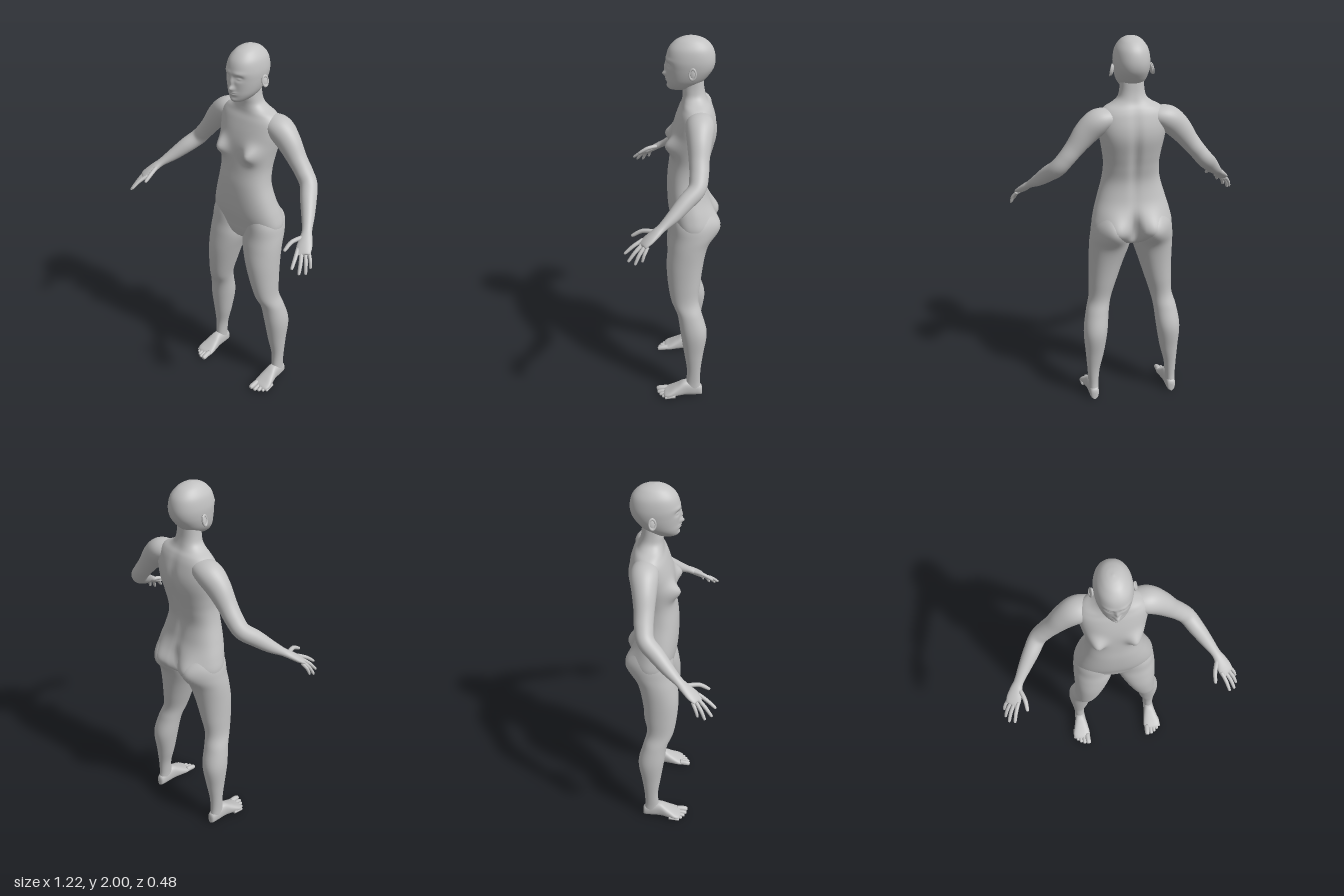
import * as THREE from 'three';

const V = (x, y, z) => new THREE.Vector3(x, y, z);
const DOWN = V(0, -1, 0), FORWARD = V(0, 0, 1), UP = V(0, 1, 0);

// Smooth interpolation of one column of numbers
function spline(p0, p1, p2, p3, t) {
  const a = (p2 - p0) / 2, b = (p3 - p1) / 2, t2 = t * t, t3 = t2 * t;
  return (2 * t3 - 3 * t2 + 1) * p1 + (t3 - 2 * t2 + t) * a + (3 * t2 - 2 * t3) * p2 + (t3 - t2) * b;
}

// Skin over rows [x, y, z, half width, half depth]; axis fixed, or following the path
function loft(rows, { axis = null, sides = 32, steps = 6, power = 2, bumps = [] } = {}) {
  const last = rows.length - 1, rings = [];
  for (let k = 0; k <= last * steps; k++) {
    const i = Math.min(Math.floor(k / steps), last - 1), t = k / steps - i;
    const at = j => rows[Math.max(0, Math.min(last, j))];
    rings.push(rows[0].map((_, c) => spline(at(i - 1)[c], at(i)[c], at(i + 1)[c], at(i + 2)[c], t)));
  }
  const centre = r => V(r[0], r[1], r[2]);
  const pts = [], index = [], n = rings.length;
  rings.forEach((r, k) => {
    const w = axis ?? centre(rings[Math.min(n - 1, k + 1)]).sub(centre(rings[Math.max(0, k - 1)])).normalize();
    const u = axis ? V(1, 0, 0) : w.clone().cross(UP).normalize();
    const v = w.clone().cross(u);
    for (let j = 0; j < sides; j++) {
      const a = j / sides * Math.PI * 2, c = Math.cos(a), s = Math.sin(a);
      const round = q => Math.sign(q) * Math.abs(q) ** (2 / power);
      pts.push(centre(r).addScaledVector(u, r[3] * round(c)).addScaledVector(v, r[4] * round(s)));
    }
  });
  for (let k = 0; k < n - 1; k++) for (let j = 0; j < sides; j++) {
    const a = k * sides + j, b = k * sides + (j + 1) % sides;
    index.push(a, b, a + sides, b, b + sides, a + sides);
  }
  const first = pts.length, end = (n - 1) * sides;
  pts.push(centre(rings[0]), centre(rings[n - 1]));
  for (let j = 0; j < sides; j++) {
    const m = (j + 1) % sides;
    index.push(first, m, j, first + 1, end + j, end + m);
  }
  // Soft swellings and hollows: [centre, radii, push along z], same on both sides
  for (const p of pts) {
    let push = 0;
    for (const [c, r, d] of bumps) {
      push += d * Math.exp(-(((Math.abs(p.x) - c[0]) / r[0]) ** 2) - ((p.y - c[1]) / r[1]) ** 2 - ((p.z - c[2]) / r[2]) ** 2);
    }
    p.z += push;
  }
  const geo = new THREE.BufferGeometry().setFromPoints(pts);
  geo.setIndex(index);
  geo.computeVertexNormals();
  return geo;
}

function mirrored(geo) {
  const g = geo.clone().scale(-1, 1, 1), ix = g.index.array;
  for (let i = 0; i < ix.length; i += 3) [ix[i], ix[i + 1]] = [ix[i + 1], ix[i]];
  g.computeVertexNormals();
  return g;
}

// Row from height, inner x, outer x, front z, back z
const level = ([y, x0, x1, zf, zb]) => [(x0 + x1) / 2, y, (zf + zb) / 2, (x1 - x0) / 2, (zf - zb) / 2];
const centred = ([y, w, zf, zb]) => level([y, -w, w, zf, zb]);

// Rounded finger or toe through three points
function digit(a, b, c, r) {
  const tip = a.map((_, i) => c[i] + (b[i] - c[i]) * 0.14);
  return loft([[...a, r, r], [...b, r, r * 0.95], [...tip, r * 0.78, r * 0.72], [...c, r * 0.2, r * 0.2]], { sides: 12, steps: 5 });
}

export function createModel() {
  const model = new THREE.Group();
  model.name = 'mannequin';
  const clay = new THREE.MeshStandardMaterial({ color: 0xc2c2c2 });
  clay.name = 'light grey clay';
  const add = (name, geo) => {
    const mesh = new THREE.Mesh(geo, clay);
    mesh.name = name;
    model.add(mesh);
  };
  const pair = (name, geo) => {
    add('left ' + name, geo);
    add('right ' + name, mirrored(geo));
  };

  // Chest, seat and spine forms, shared by torso and legs
  const bodyForms = [
    [[0.1, 1.462, 0.01], [0.042, 0.045, 0.08], 0.048],
    [[0.1, 1.02, -0.2], [0.07, 0.075, 0.09], -0.045],
    [[0, 1.01, -0.22], [0.022, 0.08, 0.06], 0.05],
    [[0, 1.4, -0.2], [0.025, 0.2, 0.08], 0.014],
  ];

  // Neck and torso
  add('torso', loft([
    [1.79, 0.058, -0.05, -0.145], [1.74, 0.062, -0.042, -0.15], [1.705, 0.072, -0.042, -0.158],
    [1.68, 0.1, -0.04, -0.168], [1.655, 0.145, -0.035, -0.185], [1.62, 0.17, -0.02, -0.2],
    [1.56, 0.172, 0, -0.215], [1.5, 0.164, 0.013, -0.215], [1.42, 0.15, 0.02, -0.196],
    [1.35, 0.143, 0.026, -0.178], [1.27, 0.151, 0.035, -0.163], [1.18, 0.176, 0.036, -0.175],
    [1.1, 0.199, 0.03, -0.197], [1.03, 0.211, 0.015, -0.205], [0.98, 0.19, 0.005, -0.19],
    [0.94, 0.07, -0.01, -0.16], [0.92, 0.015, -0.05, -0.11],
  ].map(centred), { axis: DOWN, sides: 96, power: 2.3, bumps: bodyForms }));

  // Head with modelled face
  add('head', loft([
    [2, 0.004, -0.076, -0.084], [1.993, 0.032, -0.042, -0.122], [1.975, 0.057, -0.005, -0.16],
    [1.94, 0.08, 0.026, -0.19], [1.89, 0.09, 0.04, -0.202], [1.845, 0.088, 0.038, -0.195],
    [1.805, 0.08, 0.035, -0.17], [1.775, 0.068, 0.034, -0.142], [1.75, 0.049, 0.031, -0.11],
    [1.735, 0.029, 0.022, -0.07], [1.73, 0.008, 0, -0.04],
  ].map(centred), {
    axis: DOWN, sides: 112, steps: 10, power: 2.15, bumps: [
      [[0, 1.811, 0.04], [0.014, 0.014, 0.05], 0.021], // nose tip
      [[0, 1.843, 0.04], [0.009, 0.025, 0.05], 0.012], // nose bridge
      [[0.036, 1.865, 0.03], [0.019, 0.012, 0.05], -0.012], // eye sockets
      [[0.036, 1.863, 0.03], [0.012, 0.006, 0.05], 0.008], // eyes
      [[0.035, 1.89, 0.03], [0.03, 0.01, 0.05], 0.004], // brow
      [[0, 1.785, 0.03], [0.021, 0.011, 0.05], 0.011], // lips
      [[0, 1.785, 0.04], [0.02, 0.0028, 0.05], -0.006], // mouth line
      [[0, 1.749, 0.03], [0.02, 0.012, 0.04], 0.006], // chin
    ],
  }));

  // Ears: a flat shell with a raised rim
  const place = g => g.scale(1, 1.55, 1).rotateX(-0.2).rotateY(1.3).translate(0.097, 1.836, -0.09);
  pair('ear', place(new THREE.SphereGeometry(0.018, 20, 14).scale(1, 1, 0.45)));
  pair('ear rim', place(new THREE.TorusGeometry(0.016, 0.0045, 10, 28).translate(0, 0, 0.005)));

  // Arms, from inside the shoulder to the knuckles
  pair('arm', loft([
    [0.07, 1.605, -0.125, 0.045, 0.04], [0.13, 1.605, -0.125, 0.066, 0.054], [0.18, 1.588, -0.125, 0.07, 0.066],
    [0.235, 1.538, -0.122, 0.06, 0.062], [0.29, 1.468, -0.12, 0.05, 0.049], [0.335, 1.412, -0.119, 0.047, 0.044],
    [0.378, 1.36, -0.107, 0.044, 0.043], [0.42, 1.315, -0.055, 0.041, 0.041], [0.465, 1.265, 0.002, 0.033, 0.032],
    [0.503, 1.226, 0.055, 0.025, 0.02], [0.523, 1.203, 0.087, 0.031, 0.018], [0.54, 1.178, 0.12, 0.038, 0.016],
    [0.552, 1.158, 0.147, 0.036, 0.011], [0.556, 1.152, 0.153, 0.025, 0.004],
  ], { sides: 36 }));

  // Fingers: base, middle joint, tip, radius
  const fingers = {
    'thumb': [[0.508, 1.205, 0.09], [0.487, 1.198, 0.15], [0.482, 1.168, 0.204], 0.011],
    'index finger': [[0.522, 1.17, 0.147], [0.542, 1.147, 0.192], [0.557, 1.112, 0.236], 0.0098],
    'middle finger': [[0.542, 1.163, 0.143], [0.569, 1.13, 0.182], [0.588, 1.086, 0.218], 0.0098],
    'ring finger': [[0.56, 1.158, 0.135], [0.586, 1.124, 0.163], [0.604, 1.078, 0.185], 0.0094],
    'little finger': [[0.573, 1.158, 0.123], [0.594, 1.13, 0.139], [0.605, 1.095, 0.15], 0.0084],
  };
  for (const [name, f] of Object.entries(fingers)) pair(name, digit(...f));

  // Legs, from inside the hips to the ankles
  pair('leg', loft([
    [1.12, 0.04, 0.17, 0, -0.17], [1.05, 0.014, 0.206, 0.012, -0.193], [0.98, 0.006, 0.217, 0.018, -0.195],
    [0.91, 0.01, 0.222, 0.03, -0.175], [0.81, 0.042, 0.223, 0.04, -0.155], [0.7, 0.077, 0.224, 0.033, -0.14],
    [0.6, 0.108, 0.228, 0.015, -0.13], [0.52, 0.125, 0.249, -0.018, -0.15], [0.41, 0.137, 0.265, -0.035, -0.177],
    [0.28, 0.158, 0.257, -0.055, -0.16], [0.18, 0.182, 0.25, -0.07, -0.147], [0.1, 0.19, 0.246, -0.068, -0.144],
    [0.05, 0.192, 0.246, -0.06, -0.148], [0.02, 0.2, 0.24, -0.07, -0.14],
  ].map(level), { axis: DOWN, sides: 64, power: 2.1, bumps: bodyForms }));

  // Feet, heel to ball: z, inner x, outer x, top
  pair('foot', loft([
    [-0.157, 0.212, 0.226, 0.045], [-0.148, 0.196, 0.24, 0.065], [-0.11, 0.19, 0.247, 0.085],
    [-0.06, 0.186, 0.252, 0.094], [-0.015, 0.178, 0.264, 0.068], [0.025, 0.173, 0.274, 0.043],
    [0.05, 0.177, 0.268, 0.029], [0.06, 0.19, 0.25, 0.02],
  ].map(([z, x0, x1, top]) => [(x0 + x1) / 2, top / 2 + 0.004, z, (x1 - x0) / 2, top / 2 - 0.001]),
  { axis: FORWARD, sides: 36, power: 2.5 }));

  // Toes: base x, tip x, tip z, radius
  [[0.191, 0.187, 0.098, 0.0155], [0.213, 0.213, 0.094, 0.0115], [0.232, 0.234, 0.083, 0.011],
    [0.249, 0.253, 0.068, 0.0105], [0.263, 0.268, 0.052, 0.01]].forEach(([x0, x1, z, r], i) => {
    pair('toe ' + (i + 1), digit([x0, r + 0.008, z - 0.06], [(x0 + x1) / 2, r + 0.005, z - 0.024], [x1, r, z], r));
  });
  return model;
}
